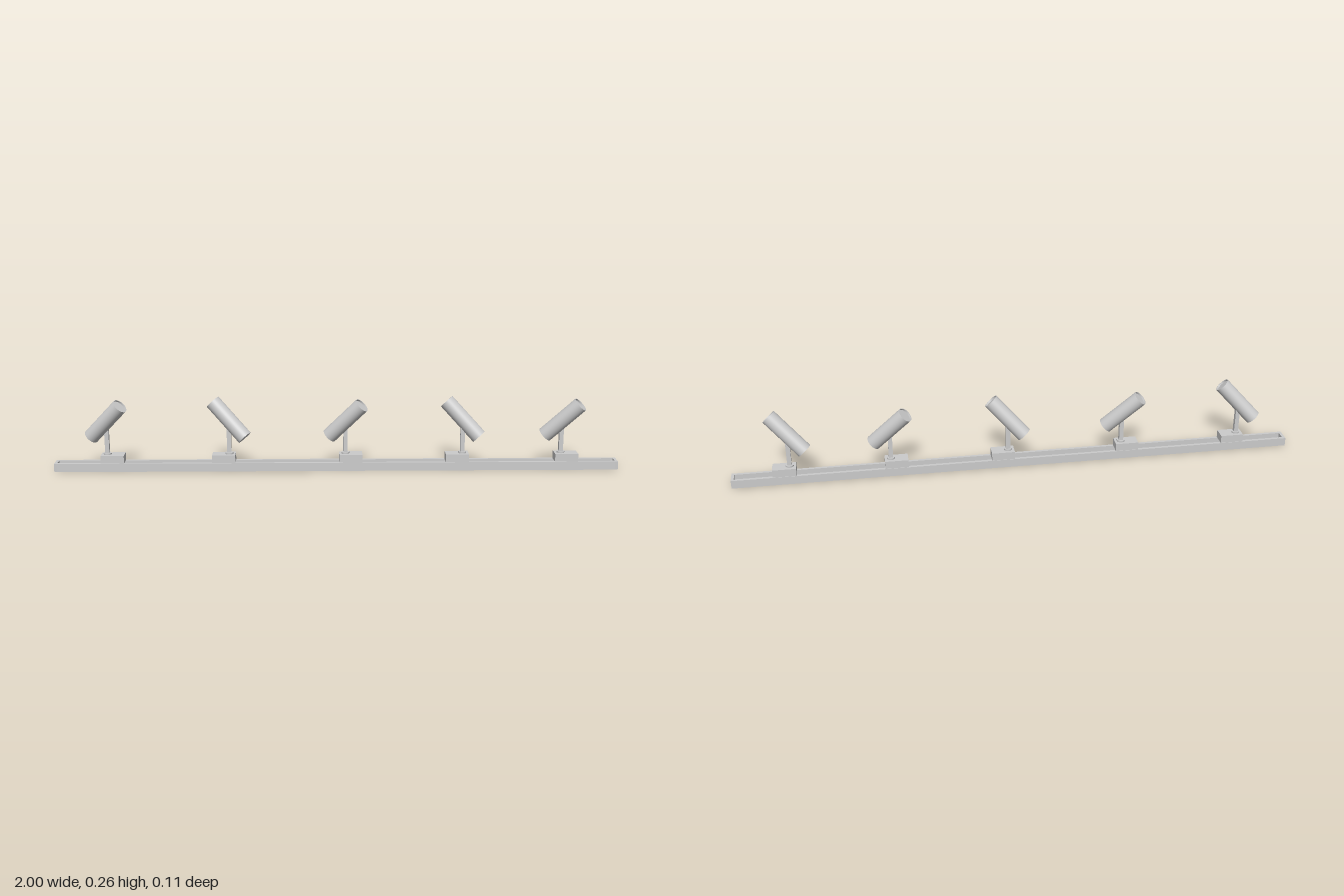
import * as THREE from 'three';

const material = new THREE.MeshStandardMaterial({ color: 0xcccccc });

function addMesh(parent, name, geometry, x = 0, y = 0, z = 0) {
  const mesh = new THREE.Mesh(geometry, material);
  mesh.name = name;
  mesh.position.set(x, y, z);
  parent.add(mesh);
  return mesh;
}

// Channel rail: a U section extruded along x, closed by caps at both ends
function createRail() {
  const rail = new THREE.Group();
  rail.name = 'rail';
  const half = 0.026, height = 0.03, inner = 0.016, floor = 0.012, cap = 0.01;
  const section = new THREE.Shape([
    [-half, 0], [half, 0], [half, height], [inner, height],
    [inner, floor], [-inner, floor], [-inner, height], [-half, height],
  ].map(([x, y]) => new THREE.Vector2(x, y)));
  const length = 2 - 2 * cap;
  const channel = new THREE.ExtrudeGeometry(section, { depth: length, bevelEnabled: false });
  channel.translate(0, 0, -length / 2).rotateY(Math.PI / 2);
  addMesh(rail, 'channel', channel);
  for (const side of [-1, 1]) {
    addMesh(rail, 'endCap', new THREE.BoxGeometry(cap, height, half * 2), side * (1 - cap / 2), height / 2);
  }
  return rail;
}

// Cylindrical lamp can with a shallow recessed lens; separate surfaces keep the rims sharp
function createCan() {
  const can = new THREE.Group();
  can.name = 'can';
  const r = 0.0275, ri = 0.0255, h = 0.085, recess = 0.006;
  const lathe = (name, points) => addMesh(can, name,
    new THREE.LatheGeometry(points.map(([x, y]) => new THREE.Vector2(x, y)), 32));
  lathe('canBase', [[0, -h], [r, -h]]);
  lathe('canWall', [[r, -h], [r, h]]);
  lathe('canRim', [[r, h], [ri, h]]);
  lathe('canInnerWall', [[ri, h], [ri, h - recess]]);
  lathe('lens', [[ri, h - recess], [0, h - recess]]);
  return can;
}

// One spotlight: adapter on the rail, swivel collar, stem and tilted can
function createSpot() {
  const spot = new THREE.Group();
  spot.name = 'spotlight';
  addMesh(spot, 'adapter', new THREE.BoxGeometry(0.082, 0.028, 0.048), 0.019, 0.044);
  addMesh(spot, 'collar', new THREE.CylinderGeometry(0.014, 0.014, 0.006, 24), 0, 0.061);
  addMesh(spot, 'stem', new THREE.BoxGeometry(0.015, 0.1, 0.015), 0, 0.112);
  const can = createCan();
  can.position.set(0, 0.18, 0.009);
  can.rotation.set(0, -THREE.MathUtils.degToRad(20), -Math.PI / 4);
  spot.add(can);
  return spot;
}

export function createModel() {
  const model = new THREE.Group();
  model.name = 'trackLight';
  model.add(createRail());
  // Every second spotlight is turned half way round
  [-0.813, -0.382, 0.03, 0.446, 0.797].forEach((x, i) => {
    const spot = createSpot();
    spot.position.x = x;
    spot.rotation.y = i % 2 ? Math.PI : 0;
    model.add(spot);
  });
  return model;
}
